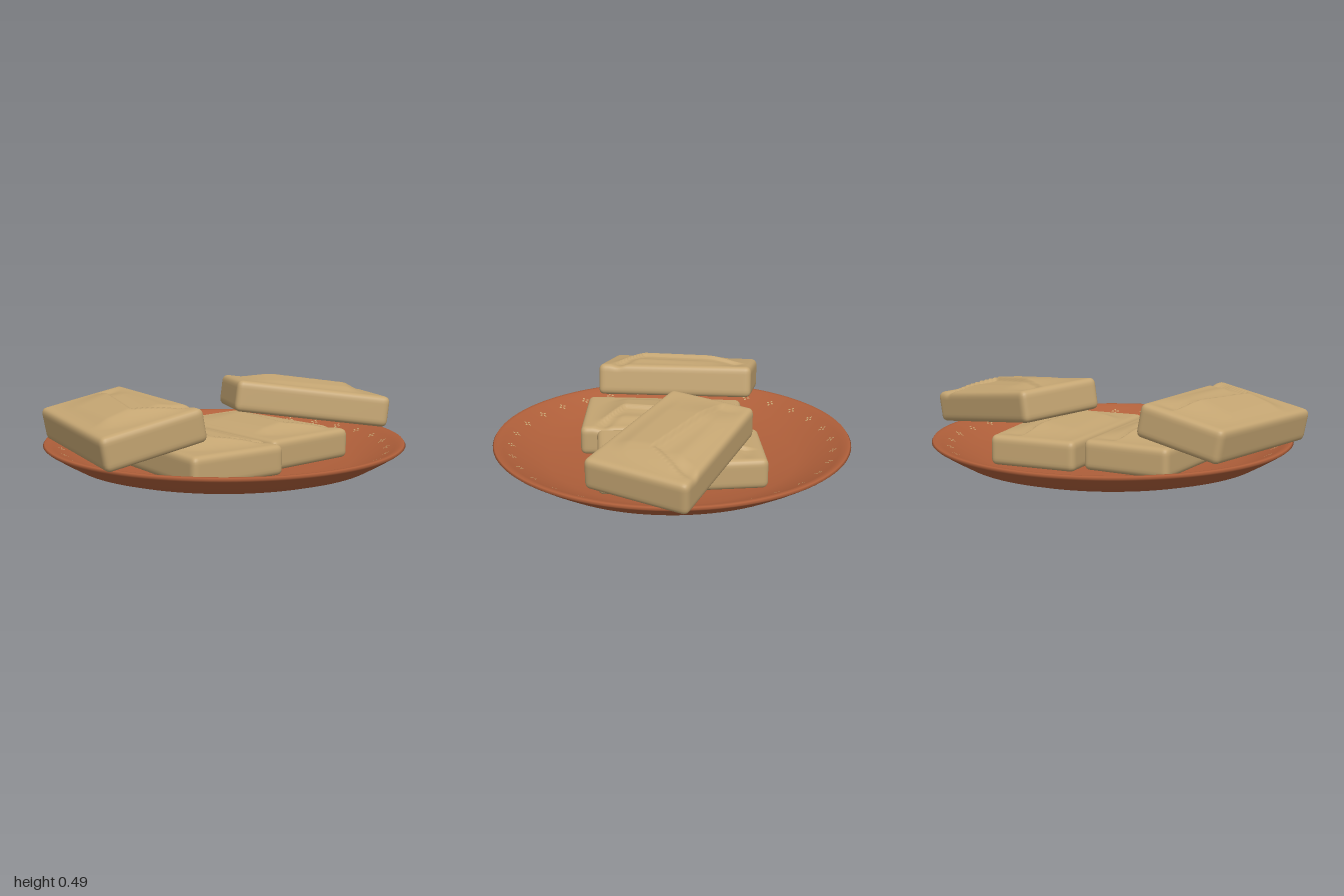
import * as THREE from 'three';
import { mergeVertices } from 'three/addons/utils/BufferGeometryUtils.js';

const PLATE_X = -0.045;
const { clamp, smoothstep } = THREE.MathUtils;

// Height of the folded wrapper above the flat top (wide end at +z)
function foldHeight(x, z) {
  const crease = z < 0.2
    ? 0.074 - 0.084 * (z + 0.345) / 0.545      // long seam
    : -0.01 + 0.24 * (z - 0.2) / 0.15;         // diagonal to the wide corner
  const d = x - crease;
  const fade = smoothstep(z, -0.4, -0.15) * (1 - smoothstep(z, 0.2, 0.38));
  const edge = 1 - smoothstep(Math.abs(x), 0.12, 0.23);
  const hump = 0.04 * (1 - clamp(Math.abs(d) / 0.3, 0, 1));
  const step = 0.017 * smoothstep(d, 0, 0.018) * (1 - smoothstep(d, 0.05, 0.16));
  return hump * fade * edge - step * (1 - smoothstep(z, 0.27, 0.36)) * smoothstep(z, -0.38, -0.3);
}

// Tapered, rounded block with its top face at y = 0
function parcelGeometry(length, thick) {
  const r = 0.03, w = 0.25;
  let geo = new THREE.BoxGeometry(2 * w, thick, length, 48, 12, 64);
  geo.deleteAttribute('normal');
  geo.deleteAttribute('uv');
  geo = mergeVertices(geo, 1e-5);
  const pos = geo.attributes.position;
  const p = new THREE.Vector3(), inner = new THREE.Vector3();
  const limit = new THREE.Vector3(w - r, thick / 2 - r, length / 2 - r);
  for (let i = 0; i < pos.count; i++) {
    p.fromBufferAttribute(pos, i);
    inner.copy(p).clamp(limit.clone().negate(), limit);
    p.sub(inner).setLength(r).add(inner);
    const lift = foldHeight(p.x, p.z) * smoothstep(p.y, 0, thick / 2);
    const taper = 0.98 + 0.16 * p.z / length;
    pos.setXYZ(i, p.x * taper, p.y - thick / 2 + lift, p.z);
  }
  geo.computeVertexNormals();
  return geo;
}

// Place a parcel by the top midpoints of its two ends and its crosswise direction
function makeParcel(name, narrow, wide, across, thick, material) {
  const a = new THREE.Vector3(...narrow), b = new THREE.Vector3(...wide);
  const zAxis = b.clone().sub(a);
  const length = zAxis.length();
  zAxis.normalize();
  const yAxis = zAxis.clone().cross(new THREE.Vector3(...across)).normalize();
  const xAxis = yAxis.clone().cross(zAxis);
  const mesh = new THREE.Mesh(parcelGeometry(length, thick), material);
  mesh.name = name;
  mesh.quaternion.setFromRotationMatrix(new THREE.Matrix4().makeBasis(xAxis, yAxis, zAxis));
  mesh.position.copy(a).add(b).multiplyScalar(0.5);
  return mesh;
}

export function createModel() {
  const group = new THREE.Group();
  group.name = 'plateOfParcels';
  const terracotta = new THREE.MeshStandardMaterial({ color: 0xaf5f3a });
  terracotta.name = 'terracotta';
  const tan = new THREE.MeshStandardMaterial({ color: 0xc4a572 });
  tan.name = 'tan';

  // Plate: underside with foot, rim, then shallow inside
  const profile = [
    [0, 0], [0.29, 0], [0.32, 0.005], [0.36, 0.024], [0.55, 0.045], [0.68, 0.077],
    [0.76, 0.1], [0.84, 0.145], [0.9, 0.182], [0.912, 0.192], [0.905, 0.202], [0.885, 0.202],
    [0.86, 0.187], [0.74, 0.13], [0.64, 0.1], [0.5, 0.08], [0.3, 0.065], [0, 0.06],
  ].map(([x, y]) => new THREE.Vector2(x, y));
  const plate = new THREE.Mesh(new THREE.LatheGeometry(profile, 96), terracotta);
  plate.name = 'plate';
  plate.position.x = PLATE_X;
  group.add(plate);

  // Ring of four-petalled flowers painted inside the rim
  const flowers = new THREE.Group();
  flowers.name = 'rimFlowers';
  flowers.position.x = PLATE_X;
  const petalGeo = new THREE.CircleGeometry(0.008, 8).rotateX(-Math.PI / 2);
  for (let i = 0; i < 32; i++) {
    const ring = new THREE.Group();
    ring.rotation.y = i * Math.PI / 16;
    const flower = new THREE.Group();
    flower.name = 'flower';
    flower.position.set(0, 0.1715, 0.82);
    flower.rotation.x = -Math.atan(0.475);
    for (let k = 0; k < 4; k++) {
      const petal = new THREE.Mesh(petalGeo, tan);
      petal.name = 'petal';
      const a = k * Math.PI / 2;
      petal.position.set(0.014 * Math.cos(a), 0, 0.014 * Math.sin(a));
      petal.rotation.y = -a;
      petal.scale.z = 0.65;
      flower.add(petal);
    }
    ring.add(flower);
    flowers.add(ring);
  }
  group.add(flowers);

  // Four wrapped parcels: two lying flat, two leaning on top
  group.add(
    makeParcel('rightLeaningParcel', [-0.59, 0.42, -0.48], [-0.745, 0.408, 0.325], [0.51, 0.1, 0.115], 0.165, tan),
    makeParcel('rightFlatParcel', [-0.27, 0.245, -0.38], [-0.335, 0.245, 0.45], [0.53, 0, 0.06], 0.15, tan),
    makeParcel('leftFlatParcel', [0.195, 0.245, -0.44], [0.205, 0.245, 0.38], [0.51, 0, 0.02], 0.15, tan),
    makeParcel('leftLeaningParcel', [0.16, 0.478, -0.19], [0.85, 0.37, 0.215], [0.3, -0.04, -0.49], 0.16, tan),
  );
  return group;
}
